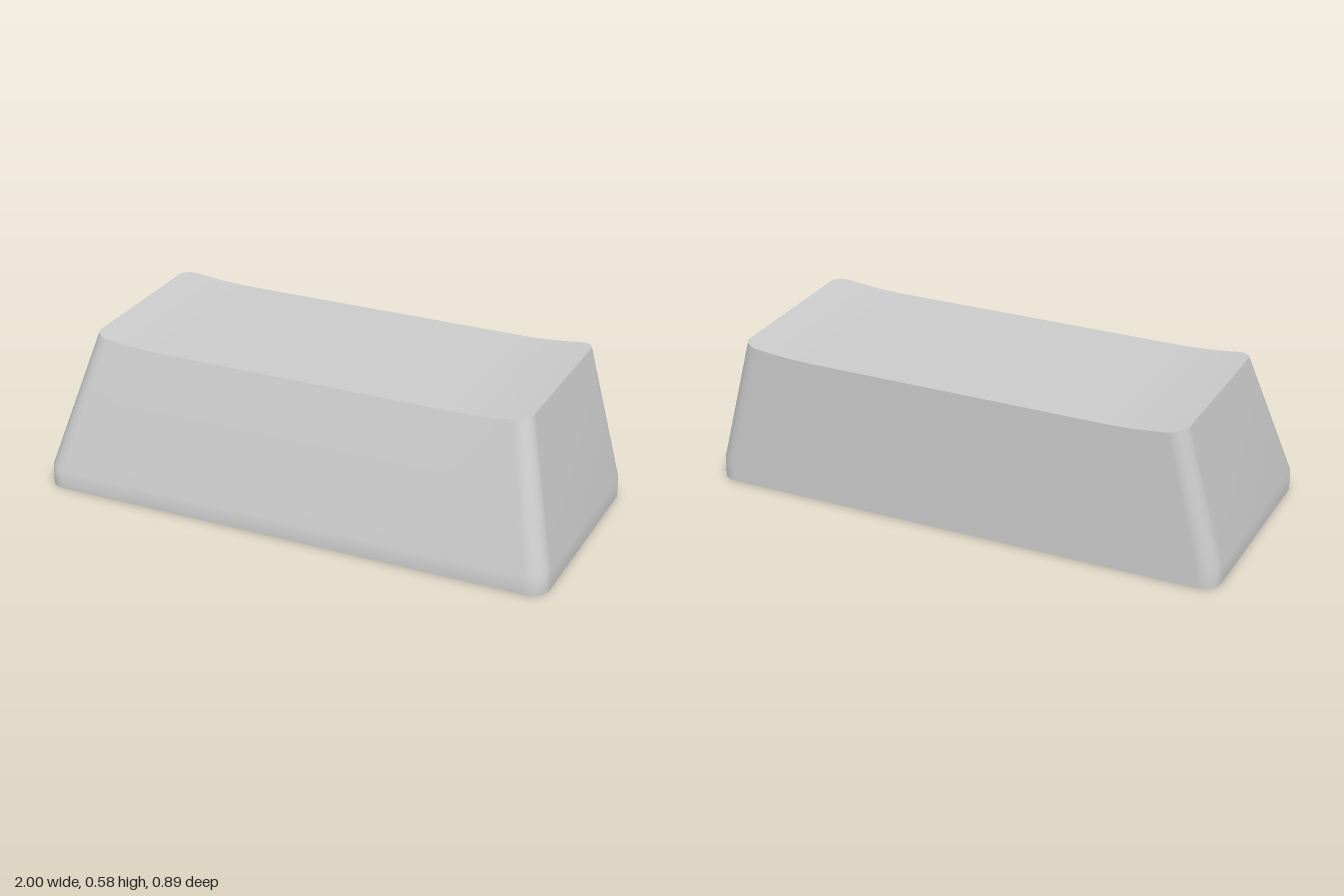
import * as THREE from 'three';
import { toCreasedNormals } from 'three/addons/utils/BufferGeometryUtils.js';

const CORNER = 8, SPAN = 40;

// Top surface: flat along the middle, sweeping up to both ends
const dish = (x) => 0.56 + 0.025 * Math.max(0, (Math.abs(x) - 0.56) / 0.305) ** 2;

// Rounded rectangle as a loop: front edge from left to right, then back edge from right to left
function ring(halfX, back, front, r, height) {
  const columns = [];
  for (let i = 0; i <= CORNER; i++) {
    const a = (i / CORNER) * Math.PI / 2;
    columns.push([-halfX + r * (1 - Math.cos(a)), r * (1 - Math.sin(a))]);
  }
  for (let i = 1; i < SPAN; i++) columns.push([(halfX - r) * (2 * i / SPAN - 1), 0]);
  for (let i = CORNER; i >= 0; i--) columns.push([-columns[i][0], columns[i][1]]);
  const point = (x, z) => new THREE.Vector3(x, typeof height === 'function' ? height(x) : height, z);
  return [
    ...columns.map(([x, inset]) => point(x, front - inset)),
    ...columns.reverse().map(([x, inset]) => point(x, back + inset)),
  ];
}

function indexed(points, index) {
  const geometry = new THREE.BufferGeometry().setFromPoints(points);
  geometry.setIndex(index);
  geometry.computeVertexNormals();
  return geometry;
}

// Skin between successive loops
function loft(rings) {
  const n = rings[0].length, index = [];
  for (let k = 0; k < rings.length - 1; k++) {
    for (let i = 0; i < n; i++) {
      const a = k * n + i, b = k * n + (i + 1) % n;
      index.push(a, b, b + n, a, b + n, a + n);
    }
  }
  return indexed(rings.flat(), index);
}

// Fill a loop with strips running from its front edge to its back edge
function cap(loop, faceDown = false) {
  const n = loop.length, index = [];
  for (let i = 0; i < n / 2 - 1; i++) {
    const a = i, b = i + 1, c = n - 2 - i, d = n - 1 - i;
    if (faceDown) index.push(a, c, b, a, d, c);
    else index.push(a, b, c, a, c, d);
  }
  return indexed(loop, index);
}

// Round post with a cross-shaped socket
function stemGeometry(radius, arm, half, bottom, top) {
  const shape = new THREE.Shape().absarc(0, 0, radius, 0, Math.PI * 2, false);
  const cross = [];
  for (let q = 0; q < 4; q++) {
    for (const [x, y] of [[arm, -half], [arm, half], [half, half]]) {
      cross.push(new THREE.Vector2(x, y).rotateAround(new THREE.Vector2(), q * Math.PI / 2));
    }
  }
  shape.holes.push(new THREE.Path(cross));
  const geometry = new THREE.ExtrudeGeometry(shape, { depth: top - bottom, bevelEnabled: false, curveSegments: 32 });
  geometry.rotateX(-Math.PI / 2).translate(0, bottom, 0);
  return toCreasedNormals(geometry, 0.6);
}

export function createModel() {
  const group = new THREE.Group();
  group.name = 'keycap';
  const material = new THREE.MeshStandardMaterial({ color: 0xcccccc });
  const add = (name, geometry) => {
    const mesh = new THREE.Mesh(geometry, material);
    mesh.name = name;
    group.add(mesh);
    return mesh;
  };

  // Outer loops: upright skirt, then tapering on the front and ends with a vertical back
  const base = ring(1, -0.443, 0.443, 0.07, 0);
  const skirt = ring(1, -0.443, 0.443, 0.07, 0.075);
  const crown = ring(0.863, -0.443, 0.277, 0.06, dish);

  // Inner loops of the hollow
  const mouth = ring(0.96, -0.403, 0.403, 0.02, 0);
  const roof = ring(0.84, -0.403, 0.26, 0.02, 0.5);

  add('outerWalls', loft([base, skirt, crown]));
  add('topSurface', cap(crown));
  add('bottomRim', loft([mouth, base]));
  add('innerWalls', loft([roof, mouth]));
  add('innerCeiling', cap(roof, true));

  add('stem', stemGeometry(0.15, 0.11, 0.034, 0.05, 0.5)).position.z = -0.07;

  return group;
}
